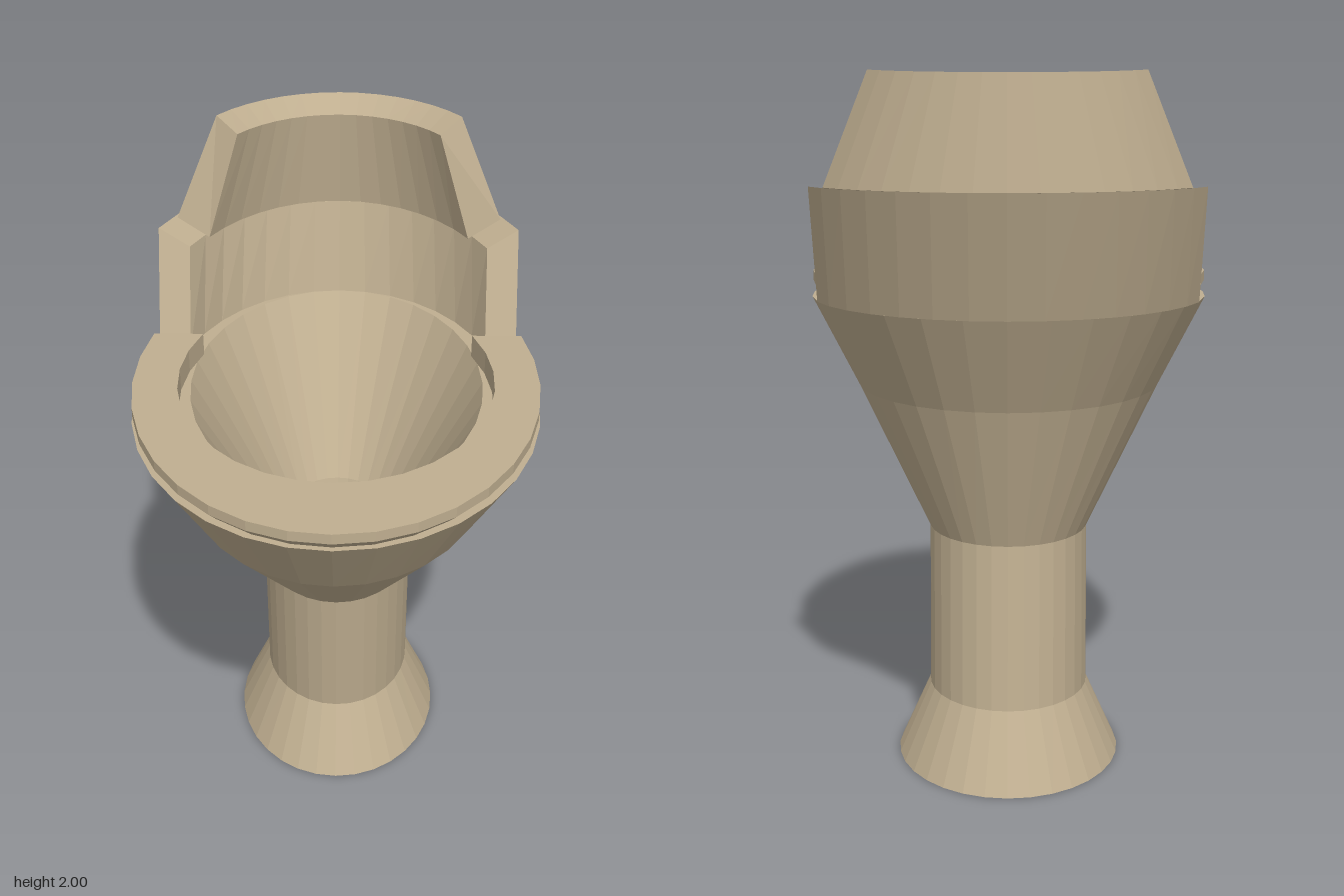
import * as THREE from 'three';

const SEGMENTS = 32;
const material = new THREE.MeshStandardMaterial({ color: 0xbfae90, flatShading: true, side: THREE.DoubleSide });

// Faceted mesh over rows of points; rows run up the outside and down the inside
function skin(name, rows, caps = []) {
  const pos = [];
  const tri = (a, b, c) => pos.push(...a, ...b, ...c);
  for (let i = 0; i < rows.length - 1; i++) {
    for (let j = 0; j < rows[i].length - 1; j++) {
      const a = rows[i][j], b = rows[i][j + 1], c = rows[i + 1][j + 1], d = rows[i + 1][j];
      tri(a, b, c);
      tri(a, c, d);
    }
  }
  for (const [a, b, c, d] of caps) {
    tri(a, b, c);
    tri(a, c, d);
  }
  const geometry = new THREE.BufferGeometry();
  geometry.setAttribute('position', new THREE.Float32BufferAttribute(pos, 3));
  geometry.computeVertexNormals();
  const mesh = new THREE.Mesh(geometry, material);
  mesh.name = name;
  return mesh;
}

// Points on an elliptical arc; height eases from the ends to the middle
function arc({ cz, rx, rz, from, to, yEnd, yMid = yEnd, n = SEGMENTS }) {
  return Array.from({ length: n + 1 }, (_, i) => {
    const t = i / n, a = from + (to - from) * t, s = 2 * t - 1;
    return [rx * Math.sin(a), yMid + (yEnd - yMid) * s * s, cz + rz * Math.cos(a)];
  });
}

// Full elliptical rings given as [y, centre z, x radius, z radius]
const rings = (name, list) => skin(name, list.map(([y, cz, rx, rz]) =>
  arc({ cz, rx, rz, from: 0, to: Math.PI * 2, yEnd: y })));

// Solid curved bar swept from four arcs, closed at both ends
function bar(name, arcs) {
  const rows = arcs.map(arc), last = rows[0].length - 1;
  return skin(name, [...rows, rows[0]],
    [rows.map(r => r[0]), rows.map(r => r[last]).reverse()]);
}

// Back arc through an end point [x, y, z] and the rearmost point [y, z]
function backArc([x, yEnd, z], [yMid, zBack], cz) {
  const rz = cz - zBack;
  const from = Math.acos((z - cz) / rz);
  return { cz, rz, rx: x / Math.sin(from), from, to: Math.PI * 2 - from, yEnd, yMid, n: 14 };
}

// Front arc cut off straight across at zCut
function seatArc(y, cz, rx, rz, zCut = -0.215) {
  const end = Math.acos((zCut - cz) / rz);
  return { cz, rx, rz, from: -end, to: end, yEnd: y, n: 20 };
}

export function createModel() {
  const model = new THREE.Group();
  model.name = 'pedestalChair';

  // Flared foot and leaning stem
  model.add(rings('foot', [
    [0, -0.21, 0, 0],
    [0, -0.21, 0.33, 0.42],
    [0.21, -0.21, 0.235, 0.30],
  ]));
  model.add(rings('stem', [
    [0.21, -0.21, 0.235, 0.30],
    [0.68, -0.155, 0.235, 0.30],
  ]));

  // Bowl: outer wall, flat rim, inner funnel and floor
  model.add(rings('bowl', [
    [0.68, -0.155, 0.235, 0.30],
    [1.09, 0.005, 0.455, 0.595],
    [1.355, 0.04, 0.595, 0.76],
    [1.355, -0.06, 0.435, 0.605],
    [0.85, -0.07, 0.175, 0.235],
    [0.70, -0.097, 0.12, 0.153],
    [0.70, -0.097, 0, 0],
  ]));

  // Horseshoe seat with a thin lip and undercut
  const seatRows = [
    seatArc(1.36, 0.04, 0.555, 0.75),
    seatArc(1.40, 0.04, 0.59, 0.793),
    seatArc(1.43, 0.04, 0.59, 0.793),
    seatArc(1.43, 0.04, 0.46, 0.56),
    seatArc(1.36, 0.04, 0.46, 0.56),
  ].map(arc);
  const n = seatRows[0].length - 1;
  const endCaps = [[0, 1, 2, 3], [0, 3, 4, 4]].flatMap(f => [
    f.map(i => seatRows[i][0]),
    f.map(i => seatRows[i][n]).reverse(),
  ]);
  model.add(skin('seat', [...seatRows, seatRows[0]], endCaps));

  // Wrap-around backrest in two tiers, the upper one stepped in
  model.add(bar('lowerBackrest', [
    backArc([0.55, 1.355, -0.26], [1.355, -0.72], 0.04),
    backArc([0.55, 1.69, -0.41], [1.69, -0.835], -0.1),
    backArc([0.455, 1.64, -0.385], [1.64, -0.74], -0.1),
    backArc([0.455, 1.355, -0.26], [1.355, -0.665], -0.06),
  ]));
  model.add(bar('upperBackrest', [
    backArc([0.50, 1.69, -0.49], [1.69, -0.835], -0.1),
    backArc([0.37, 2.0, -0.54], [1.985, -0.79], -0.2),
    backArc([0.305, 1.96, -0.49], [1.945, -0.70], -0.2),
    backArc([0.40, 1.64, -0.455], [1.64, -0.74], -0.1),
  ]));

  return model;
}
